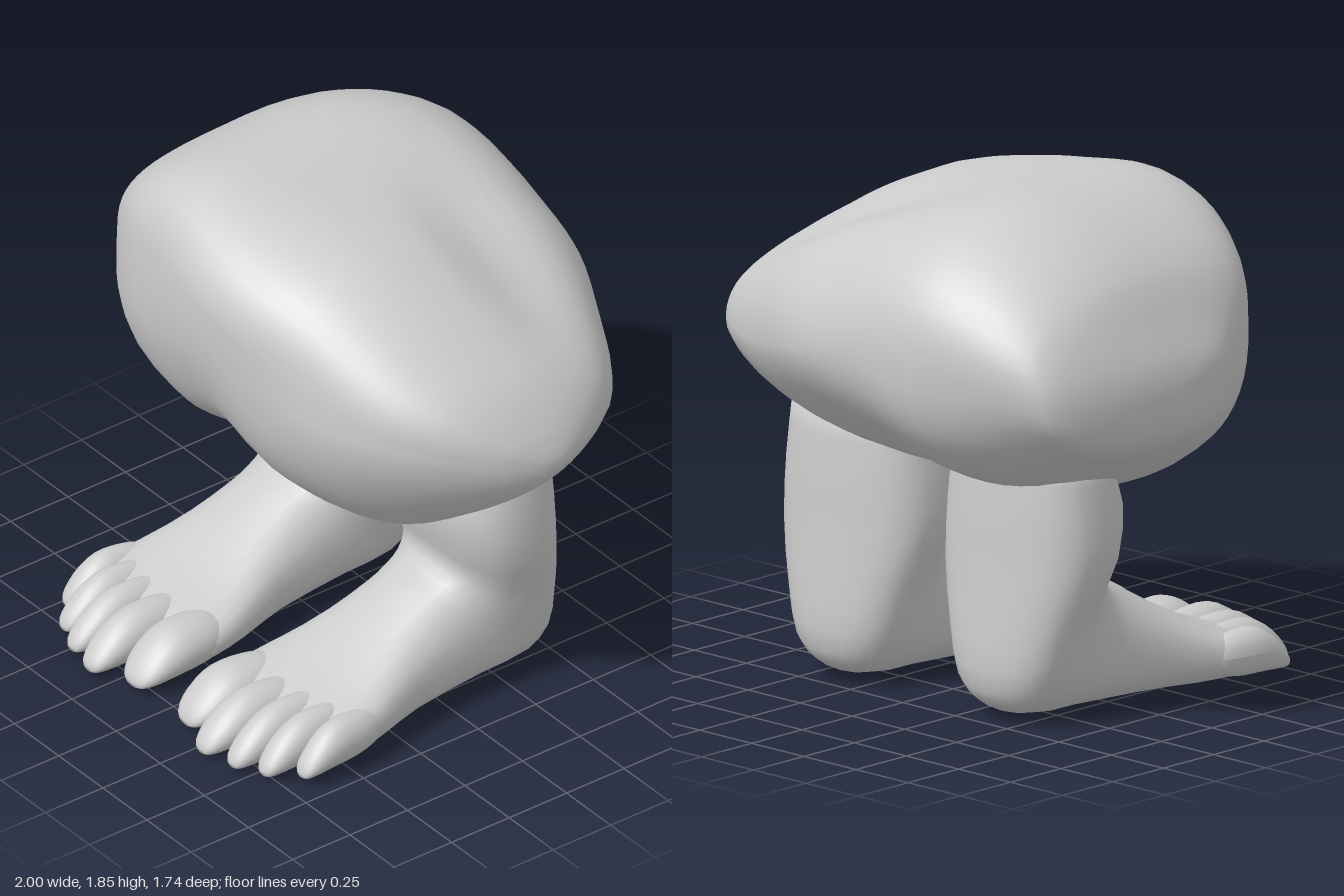
import * as THREE from 'three';

const material = new THREE.MeshStandardMaterial({ color: 0xcccccc, roughness: 0.9 });
const { lerp, smoothstep } = THREE.MathUtils;

// Smooth closed skin over a row of rings (arrays of Vector3 of equal length)
function loft(rings, sub, shape = (p) => p) {
  const n = rings[0].length;
  const steps = (rings.length - 1) * sub;
  const columns = rings[0].map((_, j) =>
    new THREE.CatmullRomCurve3(rings.map((r) => r[j])).getPoints(steps));
  const points = [];
  for (let i = 0; i <= steps; i++) for (let j = 0; j < n; j++) points.push(shape(columns[j][i].clone()));
  const index = [];
  for (let i = 0; i < steps; i++) {
    for (let j = 0; j < n; j++) {
      const a = i * n + j, b = i * n + (j + 1) % n;
      index.push(a, b, a + n, b, b + n, a + n);
    }
  }
  // End caps
  for (const row of [0, steps]) {
    const centre = new THREE.Vector3();
    for (let j = 0; j < n; j++) centre.addScaledVector(points[row * n + j], 1 / n);
    const c = points.push(centre) - 1;
    for (let j = 0; j < n; j++) {
      const a = row * n + j, b = row * n + (j + 1) % n;
      if (row === 0) index.push(c, b, a); else index.push(c, a, b);
    }
  }
  // Turn the faces outward if the signed volume is negative
  let volume = 0;
  for (let k = 0; k < index.length; k += 3) {
    const [a, b, c] = [0, 1, 2].map((m) => points[index[k + m]]);
    volume += a.dot(b.clone().cross(c));
  }
  if (volume < 0) index.reverse();
  const geometry = new THREE.BufferGeometry().setFromPoints(points);
  geometry.setIndex(index);
  geometry.computeVertexNormals();
  return geometry;
}

const power = (v, n) => Math.sign(v) * Math.pow(Math.abs(v), 2 / n);

function addMesh(parent, name, geometry) {
  const mesh = new THREE.Mesh(geometry, material);
  mesh.name = name;
  parent.add(mesh);
  return mesh;
}

// Lumpy boulder: stations of x, top, bottom, bottom toward the back, front z, back z
function boulderGeometry() {
  const stations = [
    [-1.0, 1.26, 1.15, 1.15, -0.08, -0.24],
    [-0.98, 1.34, 1.07, 1.07, 0.08, -0.46],
    [-0.92, 1.46, 1.0, 1.0, 0.21, -0.7],
    [-0.82, 1.63, 0.93, 0.93, 0.37, -0.77],
    [-0.6, 1.79, 0.81, 0.81, 0.5, -0.84],
    [-0.38, 1.855, 0.77, 0.77, 0.54, -0.88],
    [-0.12, 1.83, 0.84, 0.78, 0.57, -0.87],
    [0.12, 1.8, 0.73, 0.78, 0.56, -0.84],
    [0.3, 1.76, 0.69, 0.79, 0.53, -0.8],
    [0.5, 1.67, 0.74, 0.83, 0.47, -0.72],
    [0.7, 1.55, 0.87, 0.9, 0.37, -0.62],
    [0.85, 1.44, 0.98, 0.98, 0.24, -0.5],
    [0.96, 1.3, 1.08, 1.08, 0.06, -0.31],
    [1.0, 1.21, 1.14, 1.14, -0.08, -0.19],
  ];
  const rings = stations.map(([x, top, bottom, rearBottom, front, back]) => {
    const ring = [];
    // The underside is fuller at the right end than at the left
    const end = smoothstep(x, -0.4, 0.4);
    const frontTop = lerp(3.7, 3, end), frontLow = lerp(2.5, 1.75, end), rearLow = lerp(2.2, 1.75, end);
    for (let j = 0; j < 48; j++) {
      const a = (j / 48) * Math.PI * 2;
      const c = Math.cos(a), s = Math.sin(a);
      const n = s > 0 ? (c > 0 ? frontTop : 2.15) : (c > 0 ? frontLow : rearLow);
      const u = power(c, n), v = power(s, n);
      const zc = lerp(back, front, s > 0 ? 0.54 : 0.62);
      const low = lerp(bottom, rearBottom, smoothstep(-u, 0, 0.4));
      const yc = lerp(bottom, top, 0.57 + 0.03 * c);
      ring.push(new THREE.Vector3(x,
        yc + v * (v > 0 ? top - yc : yc - low),
        zc + u * (u > 0 ? front - zc : zc - back)));
    }
    return ring;
  });
  return loft(rings, 3, (p) => {
    // Shallow valley down the upper left side, and faint lumps
    const along = Math.exp(-(((p.x - 0.4) / 0.36) ** 2));
    const across = Math.exp(-(((p.z + 0.34) / 0.17) ** 2));
    if (p.y > 1.2) p.y -= 0.08 * along * across;
    const inner = 1 - p.x * p.x;
    p.y += 0.01 * inner * Math.sin(7 * p.z + 4 * p.x);
    p.z += 0.01 * inner * Math.sin(9 * p.y - 5 * p.x);
    return p;
  });
}

// Leg bending into the foot: front/top z and y, back/bottom z and y, half width
function legGeometry() {
  const sections = [
    [-0.1, 0.98, -0.46, 0.98, 0.3],
    [-0.03, 0.76, -0.48, 0.76, 0.33],
    [-0.05, 0.6, -0.49, 0.52, 0.33],
    [-0.07, 0.51, -0.51, 0.27, 0.28],
    [-0.03, 0.46, -0.5, 0.11, 0.255],
    [0.03, 0.43, -0.42, 0.03, 0.24],
    [0.1, 0.39, -0.2, 0.015, 0.235],
    [0.22, 0.32, 0.12, 0.005, 0.255],
    [0.36, 0.245, 0.34, 0.0, 0.3],
    [0.48, 0.2, 0.5, 0.003, 0.325],
    [0.56, 0.175, 0.59, 0.008, 0.32],
    [0.64, 0.14, 0.66, 0.015, 0.27],
  ];
  const rings = sections.map(([az, ay, bz, by, w]) => {
    const ring = [];
    for (let j = 0; j < 28; j++) {
      const a = (j / 28) * Math.PI * 2;
      const t = 0.5 + 0.5 * power(Math.cos(a), 2.5);
      ring.push(new THREE.Vector3(w * power(Math.sin(a), 2.5), lerp(by, ay, t), lerp(bz, az, t)));
    }
    return ring;
  });
  return loft(rings, 2);
}

// Toe: plump, blunt ellipsoid whose top slopes down to the tip
function toeGeometry(halfWidth, halfLength, halfHeight) {
  const geometry = new THREE.SphereGeometry(1, 20, 18);
  geometry.rotateX(Math.PI / 2);
  const pos = geometry.attributes.position;
  for (let i = 0; i < pos.count; i++) {
    const x = pos.getX(i), y = pos.getY(i), z = pos.getZ(i);
    const fore = Math.max(z, 0);
    const fuller = 1 / Math.pow(Math.max(x * x + y * y, 0.01), 0.18);
    const height = halfHeight * (1 - 0.45 * fore * fore);
    pos.setXYZ(i, x * fuller * halfWidth,
      y * fuller * height - 0.07 * fore * fore, z * halfLength);
  }
  geometry.computeVertexNormals();
  return geometry;
}

export function createModel() {
  const model = new THREE.Group();
  model.name = 'walkingBoulder';
  addMesh(model, 'boulder', boulderGeometry());

  // Toes from big to little: x from foot centre, tip z, half width, half length, height of centre
  const toes = [
    [-0.228, 0.81, 0.108, 0.21, 0.107],
    [-0.065, 0.87, 0.086, 0.23, 0.104],
    [0.063, 0.84, 0.074, 0.23, 0.104],
    [0.17, 0.79, 0.071, 0.21, 0.108],
    [0.268, 0.7, 0.068, 0.18, 0.115],
  ];
  for (const side of [1, -1]) {
    const leg = new THREE.Group();
    leg.name = side > 0 ? 'leftLeg' : 'rightLeg';
    leg.position.x = side > 0 ? 0.375 : -0.4;
    addMesh(leg, 'legAndFoot', legGeometry());
    toes.forEach(([x, tip, halfWidth, halfLength, y], i) => {
      const toe = addMesh(leg, `toe${i + 1}`, toeGeometry(halfWidth, halfLength, 0.2 - y));
      toe.position.set(x * side, y, tip - halfLength);
      toe.rotation.y = side * x * 0.25;
    });
    model.add(leg);
  }
  return model;
}
